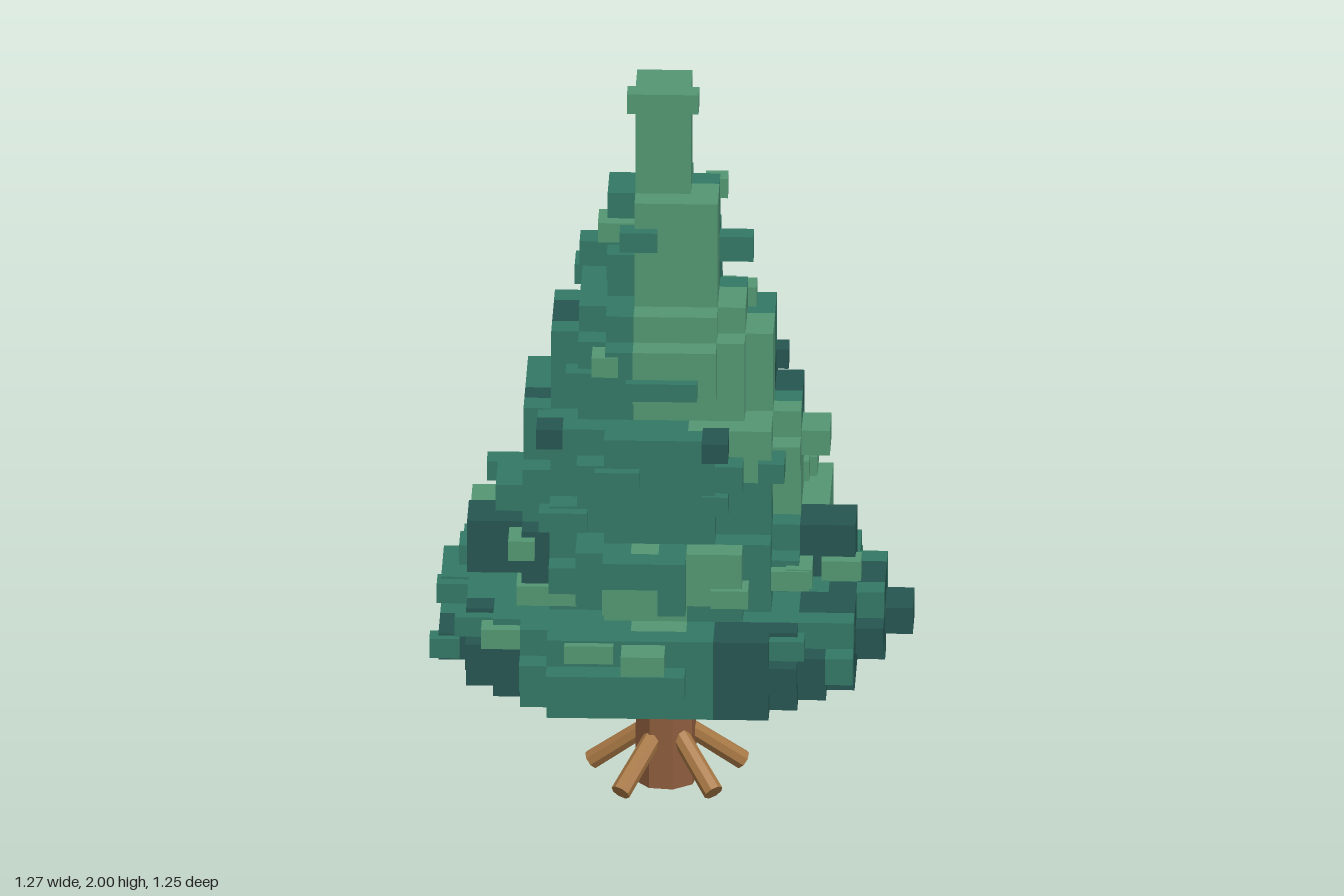
import * as THREE from 'three';
import { mergeGeometries } from 'three/addons/utils/BufferGeometryUtils.js';

const S = 0.0736, Y0 = 0.38, CX = -0.028; // cell size, foliage base, trunk axis
const GREENS = { mid: 0x337865, light: 0x539673, dark: 0x265651 };

// Repeatable pseudo-random value in 0..1 from cell coordinates
const hash = (a, b, c) => {
  const v = Math.sin(a * 127.1 + b * 311.7 + c * 74.7) * 43758.5453;
  return v - Math.floor(v);
};

// Bottom tier: [first, last) column for each row, back to front
const SKIRT = [[-3, 1], [-5, 5], [-5, 6], [-7, 7], [-8, 7], [-8, 7], [-8, 8], [-8, 9],
  [-8, 9], [-8, 8], [-8, 8], [-8, 7], [-7, 7], [-5, 7], [-5, 5], [-4, 1]];

// Upper layers: [half width x, half depth z] in cells, from layer 3 up
const TIERS = [[5, 5], [6, 6], [6, 6], [5.2, 5], [5, 5], [5, 5], [5, 5], [4, 3], [4, 4], [4, 4],
  [3, 3], [2, 2], [2, 2], [2, 2], [2, 2], [1, 1], [1, 1], [1, 1], [1, 1]];

// Extra clumps jutting from the middle tier: [i0, i1, layer0, layer1, k0, k1]
const CLUMPS = [[5, 7, 4, 6, 1, 3], [-7, -5, 4, 6, 1, 3], [-2, 1, 4, 6, 5, 7], [0, 3, 5, 6, -7, -5],
  [-6, -5, 6, 7, -1, 2], [-7, -5, 4, 5, -3, -1]];

// Colour patches: [x, y, z, radius]
const DARK = [[0.47, 0.45, 0.22, 0.16], [0.27, 0.49, 0.5, 0.17], [0.6, 0.49, 0, 0.13], [-0.47, 0.72, 0.2, 0.15],
  [0.05, 0.62, -0.42, 0.2], [-0.3, 1.25, 0, 0.11], [0.45, 0.74, 0.15, 0.14], [0.3, 1.0, -0.33, 0.14],
  [-0.5, 0.45, 0.25, 0.12], [-0.2, 0.95, -0.33, 0.14]];
const LIGHT = [[-0.5, 0.53, -0.28, 0.13], [-0.05, 0.67, 0.36, 0.13], [-0.13, 0.55, -0.5, 0.09], [0.1, 0.72, 0.42, 0.1]];

function cellFilled(i, j, k) {
  if (j < 0 || j > 21) return false;
  if (CLUMPS.some(c => i >= c[0] && i < c[1] && j >= c[2] && j < c[3] && k >= c[4] && k < c[5])) return true;
  const x = Math.abs(i + 0.5), z = Math.abs(k + 0.5), jitter = hash(i, j, k) - 0.5;
  if (j < 3) {
    const row = SKIRT[k + 8];
    if (!row || i < row[0] || i >= row[1]) return false;
    // The middle layer is full; those above and below are rounder
    return j === 1 || (i < 8 && k < 7 && Math.hypot(x, z) < 7.6 + 0.7 * jitter);
  }
  const [ax, az] = TIERS[j - 3];
  if (x > ax || z > az) return false;
  if (ax === 1) return true;
  // Upper stem: the front left corner runs full height, the others are notched
  if (ax === 2) return x + z < 3 || (i > 0 && k > 0) || (j < 16 && jitter > -0.1);
  return (x / ax) ** 2 + (z / az) ** 2 < 1.02 + 0.25 * jitter;
}

function shade(x, y, z) {
  const inside = p => Math.hypot(x - p[0], y - p[1], z - p[2]) < p[3];
  if (DARK.some(inside)) return 'dark';
  if (LIGHT.some(inside)) return 'light';
  if (y > 1.7) return x < CX && z < 0 && y > 1.78 && y < 1.93 ? 'mid' : 'light';
  // Light band winding down around the tree
  const centre = y > 1.1 ? 0.9 : 0.75 - (1.1 - y) * 3.6;
  let a = Math.atan2(z, x - CX) - centre;
  a = Math.abs(Math.atan2(Math.sin(a), Math.cos(a)));
  if (y > 0.62 && a < (y > 1.1 ? 1 : 0.5)) return 'light';
  const n = hash(Math.floor(x / S / 3), Math.floor(y / S / 2), Math.floor(z / S / 3));
  return n < 0.04 && y > 0.62 ? 'light' : n > 0.91 && z < 0.1 ? 'dark' : 'mid';
}

// Six cell faces, each moved out along its normal
const SIDES = [[1, 0, 0], [-1, 0, 0], [0, 1, 0], [0, -1, 0], [0, 0, 1], [0, 0, -1]].map(n => {
  const q = new THREE.Quaternion().setFromUnitVectors(new THREE.Vector3(0, 0, 1), new THREE.Vector3(...n));
  const g = new THREE.PlaneGeometry(S, S).applyQuaternion(q);
  return { n, g: g.translate(n[0] * S / 2, n[1] * S / 2, n[2] * S / 2) };
});

function createFoliage() {
  const foliage = new THREE.Group();
  foliage.name = 'foliage';
  const blocks = { mid: [], light: [], dark: [] }, tufts = { mid: [], light: [], dark: [] };
  const addTuft = (x, y, z, w, h, d, tone) =>
    tufts[tone].push(new THREE.BoxGeometry(w, h, d).translate(x, y, z));

  for (let j = 0; j < 22; j++) for (let k = -8; k < 8; k++) for (let i = -8; i < 9; i++) {
    if (!cellFilled(i, j, k)) continue;
    const x = CX + (i + 0.5) * S, y = Y0 + (j + 0.5) * S, z = (k + 0.5) * S;
    const tone = shade(x, y, z);
    const [ax, az] = j < 3 ? [7, 7] : TIERS[j - 3];
    SIDES.forEach(({ n, g }, s) => {
      if (cellFilled(i + n[0], j + n[1], k + n[2])) return;
      blocks[tone].push(g.clone().translate(x, y, z));
      // Scattered small tufts on the vertical faces, away from the outline
      const inner = n[0] ? Math.abs(i + 0.5) < ax - 0.6 : Math.abs(k + 0.5) < az - 0.6;
      if (n[1] === 0 && j > 1 && j < 14 && inner && hash(i + s * 17, j * 3, k) < 0.1) {
        const long = 0.08 + 0.06 * hash(k, i, j), t = hash(j, k, i + s);
        addTuft(x + n[0] * S / 2, y + (t - 0.5) * 0.02, z + n[2] * S / 2,
          n[0] ? 0.07 : long, 0.055, n[0] ? long : 0.07, t < 0.35 ? 'light' : t > 0.85 ? 'dark' : 'mid');
      }
    });
  }

  // Tufts that shape the outline: centre, size, tone
  [[-0.028, 1.972, 0.075, 0.19, 0.055, 0.06, 'light'],
    [0.11, 1.675, -0.07, 0.06, 0.055, 0.06, 'light'],
    [-0.14, 1.605, 0.06, 0.12, 0.055, 0.1, 'light'],
    [-0.09, 1.605, 0.15, 0.1, 0.055, 0.06, 'mid'],
    [0.165, 1.53, 0, 0.09, 0.07, 0.06, 'mid'],
    [-0.21, 1.525, 0.02, 0.08, 0.07, 0.08, 'mid'],
    [-0.22, 1.38, -0.2, 0.1, 0.055, 0.1, 'mid'],
    [0.02, 1.38, -0.22, 0.12, 0.055, 0.05, 'mid'],
    [-0.025, 1.235, 0.295, 0.19, 0.05, 0.06, 'mid'],
    [0.35, 1.005, 0.03, 0.13, 0.07, 0.13, 'light'],
    [-0.14, 1.01, 0.37, 0.12, 0.05, 0.06, 'mid'],
    [0.32, 0.865, -0.1, 0.07, 0.055, 0.1, 'light'],
    [-0.53, 0.715, 0.15, 0.07, 0.055, 0.1, 'mid'],
    [0.16, 0.7, 0.42, 0.1, 0.05, 0.08, 'light'],
    [0.2, 0.715, -0.43, 0.1, 0.05, 0.08, 'light'],
    [-0.33, 0.64, 0.25, 0.16, 0.055, 0.1, 'light'],
    [-0.21, 0.57, 0.5, 0.13, 0.05, 0.08, 'light'],
    [-0.065, 0.57, 0.575, 0.115, 0.055, 0.09, 'light'],
    [-0.6, 0.495, 0.29, 0.08, 0.055, 0.06, 'mid'],
    [-0.065, 0.49, -0.6, 0.115, 0.055, 0.05, 'light'],
    [0.01, 0.57, -0.54, 0.12, 0.055, 0.05, 'light']].forEach(t => addTuft(...t));

  for (const tone of Object.keys(GREENS)) {
    const material = new THREE.MeshStandardMaterial({ color: GREENS[tone], flatShading: true });
    for (const [name, list] of [['Foliage', blocks[tone]], ['Tufts', tufts[tone]]]) {
      const mesh = new THREE.Mesh(mergeGeometries(list), material);
      mesh.name = tone + name;
      foliage.add(mesh);
    }
  }
  return foliage;
}

export function createModel() {
  const model = new THREE.Group();
  model.name = 'pineTree';
  model.add(createFoliage());

  // Trunk
  const bark = new THREE.MeshStandardMaterial({ color: 0x8d5d3d, flatShading: true });
  const rootBark = new THREE.MeshStandardMaterial({ color: 0xa87845, flatShading: true });
  const trunk = new THREE.Mesh(new THREE.CylinderGeometry(0.079, 0.084, 0.4, 8), bark);
  trunk.position.set(CX + 0.005, 0.203, 0);
  trunk.rotation.y = 0.25;
  trunk.name = 'trunk';
  model.add(trunk);

  // Five splayed roots
  for (let r = 0; r < 5; r++) {
    const a = 0.91 + r * Math.PI * 0.4;
    const at = (radius, y) => new THREE.Vector3(CX + 0.008 + Math.cos(a) * radius, y, Math.sin(a) * radius);
    const top = at(0.05, 0.15), tip = at(0.21, 0.03);
    const dir = top.clone().sub(tip);
    const root = new THREE.Mesh(new THREE.CylinderGeometry(0.025, 0.027, dir.length(), 8), rootBark);
    root.position.copy(top).add(tip).multiplyScalar(0.5);
    root.quaternion.setFromUnitVectors(new THREE.Vector3(0, 1, 0), dir.normalize());
    root.name = 'root' + (r + 1);
    model.add(root);
  }
  return model;
}
